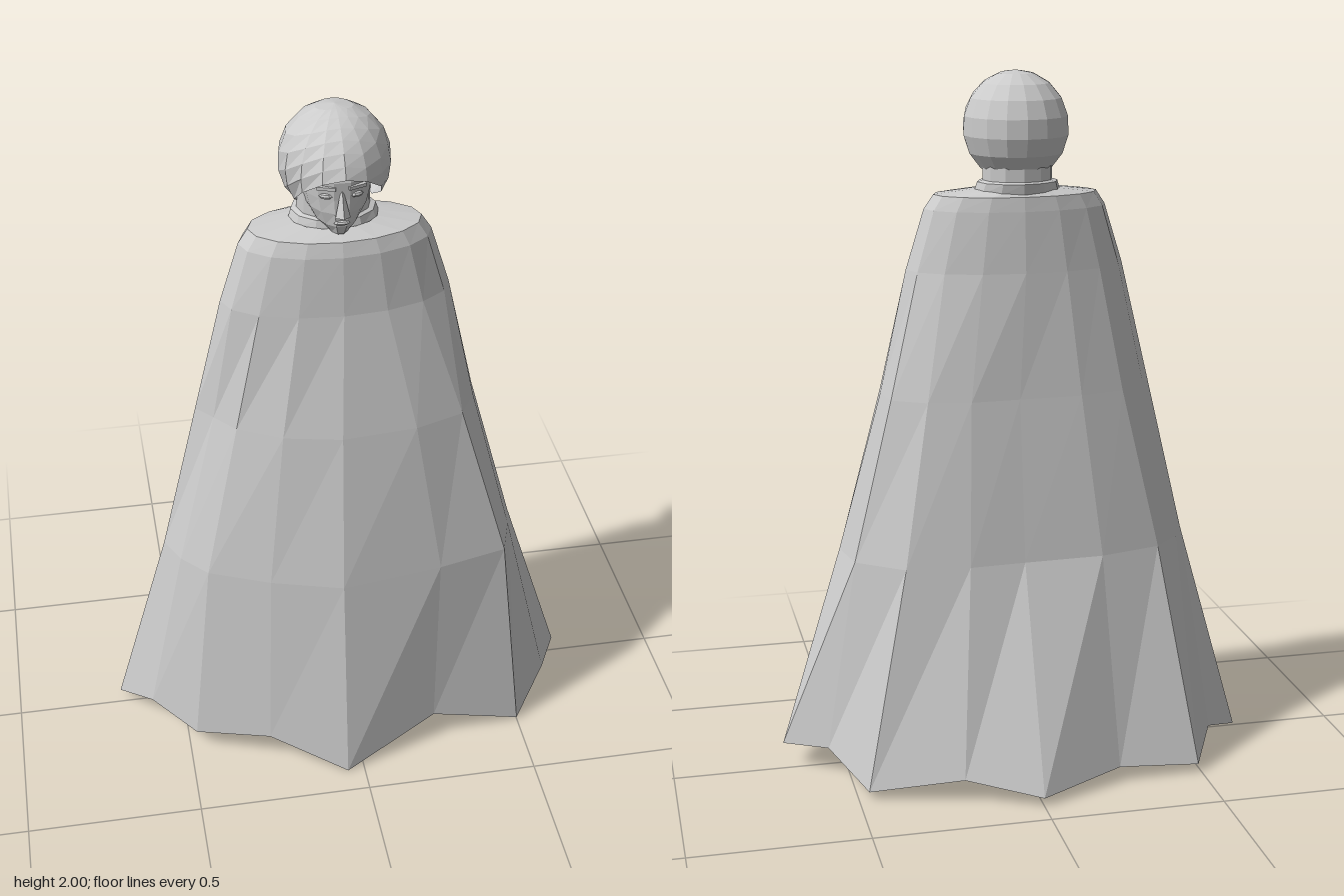
import * as THREE from 'three';

const CX = -0.025; // the figure stands slightly off centre
const N = 16;

const material = new THREE.MeshStandardMaterial({
  color: 0xcccccc, flatShading: true, side: THREE.DoubleSide,
});

// Skin between closed rings of [x, y, z] points, listed from bottom to top
function loft(rings) {
  const n = rings[0].length, index = [];
  for (let r = 0; r < rings.length - 1; r++) {
    for (let i = 0; i < n; i++) {
      const a = r * n + i, b = r * n + (i + 1) % n;
      index.push(a, a + n, b, b, a + n, b + n);
    }
  }
  const g = new THREE.BufferGeometry();
  g.setAttribute('position', new THREE.Float32BufferAttribute(rings.flat(2), 3));
  g.setIndex(index);
  g.computeVertexNormals();
  return g;
}

// Ring of n points, starting at +x and turning towards +z
function oval(y, rx, rz, cz, n = N) {
  return Array.from({ length: n }, (_, i) => {
    const a = (i / n) * Math.PI * 2;
    return [CX + rx * Math.cos(a), y, cz + rz * Math.sin(a)];
  });
}

function add(parent, name, geometry, x = 0, y = 0, z = 0) {
  const mesh = new THREE.Mesh(geometry, material);
  mesh.name = name;
  mesh.position.set(x, y, z);
  parent.add(mesh);
  return mesh;
}

// Cloak: ragged hem, two folded rings, then plain ovals up to the neck
function cloakGeometry() {
  const hem = [
    [0.68, 0.07, 0.02], [0.61, 0.085, 0.16], [0.5, 0.005, 0.29], [0.23, 0.09, 0.32],
    [-0.05, 0, 0.42], [-0.27, 0.09, 0.33], [-0.48, 0.06, 0.24], [-0.6, 0.1, 0.12],
    [-0.69, 0.02, -0.03], [-0.58, 0.06, -0.12], [-0.49, 0.025, -0.3], [-0.25, 0.045, -0.31],
    [0, 0.025, -0.42], [0.21, 0.065, -0.34], [0.47, 0.02, -0.26], [0.56, 0.085, -0.08],
  ];
  const knee = [
    [0.495, 0.065], [0.48, 0.13], [0.44, 0.25], [0.24, 0.3], [-0.05, 0.345], [-0.25, 0.285],
    [-0.42, 0.21], [-0.49, 0.13], [-0.53, 0.045], [-0.49, -0.04], [-0.41, -0.12],
    [-0.23, -0.17], [0, -0.18], [0.16, -0.19], [0.34, -0.17], [0.47, -0.07],
  ].map(([x, z]) => [x, 0.64, z]);
  const waist = [
    [0.37, 0.05], [0.36, 0.115], [0.31, 0.2], [0.17, 0.25], [-0.04, 0.27], [-0.2, 0.235],
    [-0.32, 0.17], [-0.375, 0.1], [-0.42, 0.045], [-0.39, -0.01], [-0.31, -0.075],
    [-0.18, -0.11], [0, -0.115], [0.14, -0.12], [0.26, -0.1], [0.355, -0.045],
  ].map(([x, z]) => [x, 1.1, z]);
  return loft([
    hem, knee, waist,
    oval(1.45, 0.315, 0.14, 0.06),
    oval(1.62, 0.262, 0.127, 0.06),
    oval(1.66, 0.235, 0.118, 0.057),
    oval(1.675, 0.12, 0.085, 0.04),
  ]);
}

// Helmet: faceted dome whose rim lifts into a pointed peak over the face
function helmetGeometry() {
  const rows = 7, n = 16, rings = [];
  for (let r = 0; r <= rows; r++) {
    const ring = [];
    for (let i = 0; i < n; i++) {
      const a = (i / n) * Math.PI * 2;
      const front = Math.max(0, Math.sin(a));
      const rim = 1.73 + 0.135 * Math.pow(front, 1.6);
      const maxPhi = Math.acos((rim - 1.845) / 0.155);
      const t = 1 - r / rows;
      const phi = maxPhi * t;
      const radius = 0.15 * Math.sin(phi);
      const peak = 0.025 * Math.pow(front, 4) * t * t;
      ring.push([
        CX + radius * Math.cos(a),
        1.845 + 0.155 * Math.cos(phi),
        0.05 + radius * Math.sin(a) + peak,
      ]);
    }
    rings.push(ring);
  }
  return loft(rings);
}

export function createModel() {
  const model = new THREE.Group();
  model.name = 'cloakedFigure';

  add(model, 'cloak', cloakGeometry());

  // Neck and flared collar
  add(model, 'collar', loft([
    oval(1.665, 0.125, 0.09, 0.035, 12),
    oval(1.695, 0.115, 0.09, 0.03, 12),
    oval(1.7, 0.1, 0.085, 0.03, 12),
    oval(1.76, 0.1, 0.085, 0.03, 12),
  ]));

  const head = new THREE.Group();
  head.name = 'head';
  model.add(head);
  add(head, 'helmet', helmetGeometry());

  // Face tapers from the brow down to the chin
  const faceRows = [
    [1.668, 0.005, 0.125], [1.672, 0.035, 0.152], [1.7, 0.062, 0.163], [1.74, 0.083, 0.168],
    [1.78, 0.093, 0.168], [1.83, 0.1, 0.172], [1.87, 0.09, 0.16], [1.9, 0.02, 0.08],
  ];
  add(head, 'face', loft(faceRows.map(([y, w, front]) => oval(y, w, front - 0.06, 0.06, 14))));

  // Nose: three-sided wedge with its base at the nostrils
  const nose = new THREE.CylinderGeometry(0.004, 0.02, 0.07, 4);
  add(head, 'nose', nose, CX, 1.77, 0.172).rotation.x = -0.22;

  const lips = new THREE.SphereGeometry(1, 8, 4).scale(0.022, 0.007, 0.01);
  add(head, 'lips', lips, CX, 1.712, 0.162);

  // Eyes and brows on both sides
  for (const s of [-1, 1]) {
    const eye = new THREE.SphereGeometry(1, 8, 4).scale(0.018, 0.008, 0.008);
    add(head, 'eye', eye, CX + s * 0.042, 1.79, 0.157).rotation.y = s * 0.4;
    const brow = new THREE.BoxGeometry(0.05, 0.009, 0.014);
    add(head, 'brow', brow, CX + s * 0.04, 1.815, 0.16).rotation.y = s * 0.35;
  }
  return model;
}
